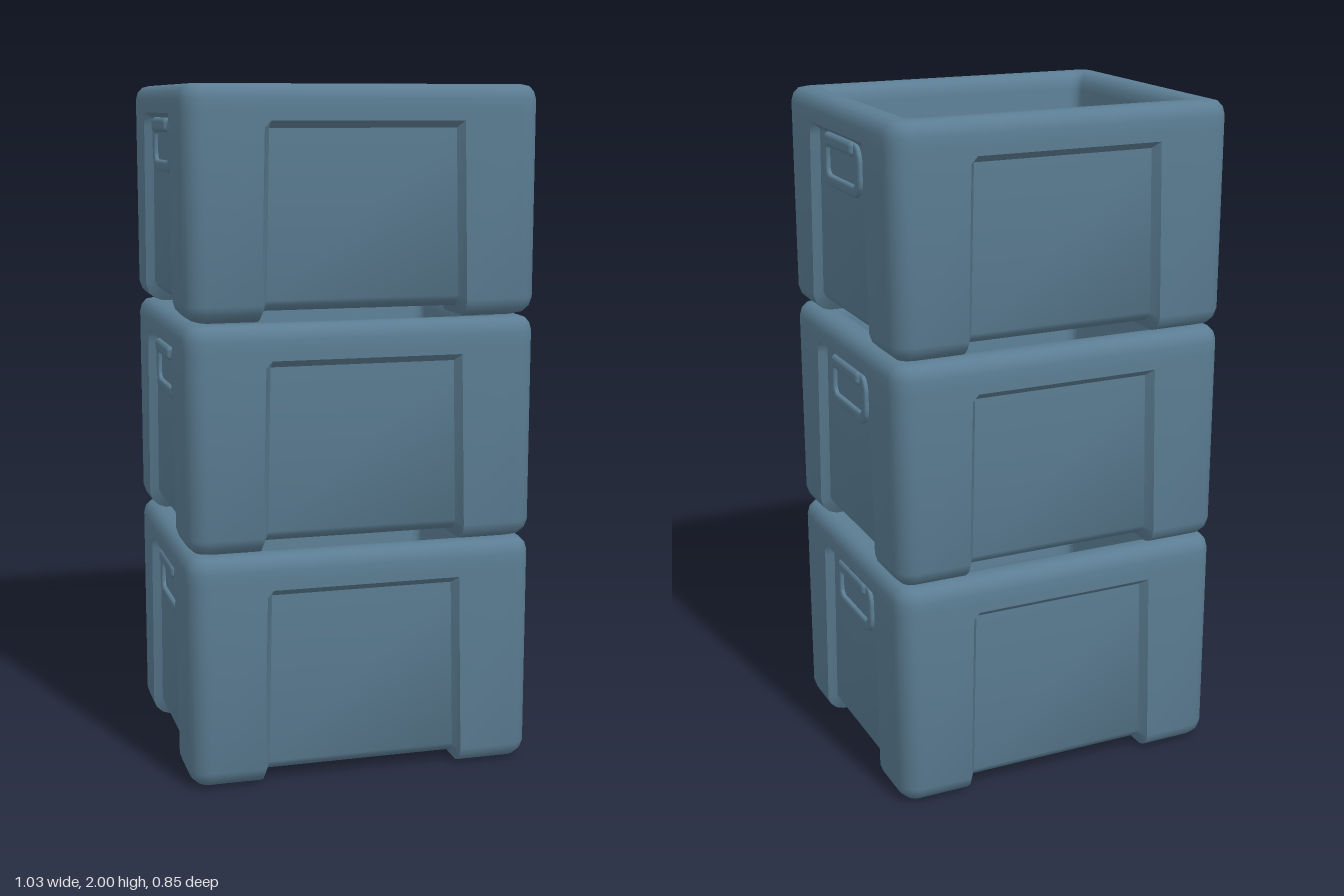
import * as THREE from 'three';
import { toCreasedNormals } from 'three/addons/utils/BufferGeometryUtils.js';
import { RoundedBoxGeometry } from 'three/addons/geometries/RoundedBoxGeometry.js';

const HX = 0.515, HZ = 0.425, CORNER = 0.06, STEP = 0.018, RECESS = 0.025;

// Points round the perimeter: four sides (panel edges) and four rounded corners
function perimeter() {
  const list = [];
  for (let q = 0; q < 4; q++) {
    for (const [s, inner] of [[-1, 0], [-1, 1], [1, 1], [1, 0]]) list.push({ q, s, inner });
    for (let k = 0; k <= 6; k++) list.push({ q, corner: true, a: (k / 6) * Math.PI / 2 });
  }
  return list;
}

// Crate shell lofted from the underside, up the walls, over the rim and down to the floor
function crateGeometry(h) {
  const pts = perimeter();
  const half = q => (q % 2 ? HZ : HX);
  const edge = (q, y) => (q % 2 ? 0.285 + 0.015 * (1 - y / h) : 0.21 + 0.025 * (1 - y / h));
  // Each row: [inset, y] for the corner posts, side panels and front/back panels
  const all = (d, y) => ({ post: [d, y], side: [d, y], front: [d, y] });
  const mix = (d, y, pd, py) => ({ post: [d, y], side: [pd, py], front: [pd, py] });
  const rows = [
    { centre: 0.03 },
    { foot: STEP, y: 0.03 },
    { foot: 0, y: 0 },
    mix(0.05, 0, 0.06, 0.03),
    mix(0.027, 0.008, 0.048, 0.035),
    mix(0.008, 0.026, 0.034, 0.047),
    mix(0, 0.05, RECESS, 0.062),
    mix(0, h - 0.12, RECESS, h - 0.12),
    { post: [0, h - 0.1], side: [RECESS, h - 0.1], front: [0, h - 0.1] },
    all(0, h - 0.08), all(0, h - 0.042), all(0.006, h - 0.02), all(0.02, h - 0.005),
    all(0.04, h), all(0.07, h), all(0.088, h - 0.007), all(0.1, h - 0.025), all(0.105, h - 0.05),
    all(0.12, 0.085), all(0.135, 0.07), { centre: 0.07 }
  ];
  const pos = [], idx = [], n = pts.length;
  for (const row of rows) for (const p of pts) {
    const { q } = p;
    let u, v, y; // u along the side's normal, v along the side
    if (row.centre !== undefined) { u = v = 0; y = row.centre; }
    else if (row.foot !== undefined) {
      u = edge(q + 1, 0) - row.foot;
      v = edge(q, 0) - (p.inner ? STEP : row.foot);
      if (!p.corner) v *= p.s;
      y = p.inner ? 0.03 : row.y;
    } else {
      const [d, py] = p.inner ? (q % 2 ? row.front : row.side) : row.post;
      y = py;
      u = half(q) - d;
      if (p.corner) {
        const r = Math.max(CORNER - d, 0.03);
        u += r * (Math.cos(p.a) - 1);
        v = half(q + 1) - d + r * (Math.sin(p.a) - 1);
      } else v = p.s * (edge(q, y) - (p.inner ? STEP : 0));
    }
    const c = Math.round(Math.cos(q * Math.PI / 2)), s = Math.round(Math.sin(q * Math.PI / 2));
    pos.push(c * u - s * v, y, s * u + c * v);
  }
  for (let i = 0; i < rows.length - 1; i++) for (let j = 0; j < n; j++) {
    const a = i * n + j, c = i * n + (j + 1) % n, b = a + n, d = c + n;
    if (i > 0) idx.push(a, b, c);
    else idx.push(a, b, d);
    if (i > 0 && i < rows.length - 2) idx.push(b, d, c);
  }
  const g = new THREE.BufferGeometry();
  g.setAttribute('position', new THREE.Float32BufferAttribute(pos, 3));
  g.setIndex(idx);
  return toCreasedNormals(g, 0.65);
}

function roundedRect(path, w, h, r) {
  const corners = [[1, 1, 0], [-1, 1, 1], [-1, -1, 2], [1, -1, 3]];
  for (const [sx, sy, k] of corners) {
    path.absarc(sx * (w / 2 - r), sy * (h / 2 - r), r, k * Math.PI / 2, (k + 1) * Math.PI / 2, false);
  }
  path.closePath();
  return path;
}

// Looped handle: bevelled frame with a thicker grip along its top
function makeHandle(material) {
  const handle = new THREE.Group();
  const shape = roundedRect(new THREE.Shape(), 0.28, 0.14, 0.045);
  shape.holes.push(roundedRect(new THREE.Path(), 0.245, 0.105, 0.03));
  const frameGeo = new THREE.ExtrudeGeometry(shape, {
    depth: 0.016, bevelEnabled: true, bevelThickness: 0.008, bevelSize: 0.008, bevelSegments: 3, curveSegments: 6
  });
  const frame = new THREE.Mesh(toCreasedNormals(frameGeo, 0.7), material);
  frame.name = 'handleFrame';
  frame.position.z = -0.012;
  const grip = new THREE.Mesh(new RoundedBoxGeometry(0.22, 0.042, 0.036, 3, 0.014), material);
  grip.name = 'handleGrip';
  grip.position.set(0, 0.058, 0.004);
  handle.add(frame, grip);
  return handle;
}

export function createModel() {
  const model = new THREE.Group();
  model.name = 'stackedCrates';
  const blue = new THREE.MeshStandardMaterial({ color: 0x5b7d93 });
  blue.name = 'slateBlue';

  // Three crates, [base height, crate height]
  const stack = [['bottomCrate', 0, 0.683], ['middleCrate', 0.688, 0.654], ['topCrate', 1.347, 0.653]];
  for (const [name, base, h] of stack) {
    const crate = new THREE.Group();
    crate.name = name;
    crate.position.y = base;
    const shell = new THREE.Mesh(crateGeometry(h), blue);
    shell.name = 'crateShell';
    crate.add(shell);
    for (const side of [1, -1]) {
      const handle = makeHandle(blue);
      handle.name = side > 0 ? 'leftHandle' : 'rightHandle';
      handle.position.set(side * (HX - RECESS), h - 0.172, 0);
      handle.rotation.y = side * Math.PI / 2;
      crate.add(handle);
    }
    model.add(crate);
  }
  return model;
}
